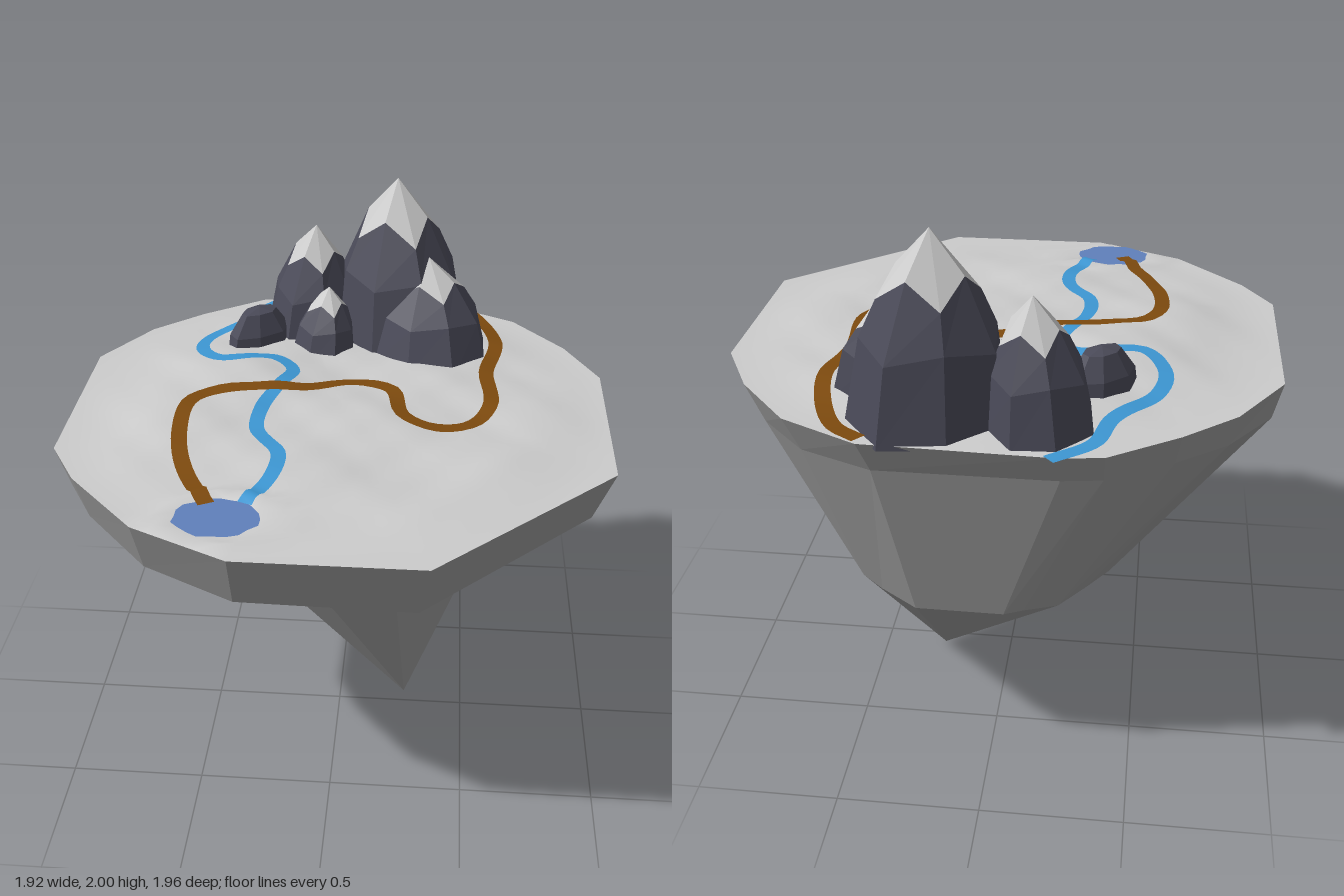
import * as THREE from 'three';

const V = (x, y, z) => new THREE.Vector3(x, y, z);
const TOP = 1.375;
const LAKE = { x: -0.33, z: 0.775, rx: 0.14, rz: 0.11, y: 1.395 };

// Plan outline of the island as x, z corners
const OUTLINE = [
  [-0.96, -0.34], [-0.80, -0.60], [-0.62, -0.76], [-0.39, -0.92], [-0.25, -0.94],
  [0.38, -0.92], [0.65, -0.78], [0.84, -0.55], [0.96, -0.31], [0.96, 0.39],
  [0.35, 0.98], [-0.27, 0.98], [-0.60, 0.82], [-0.85, 0.55], [-0.96, 0.36],
];
const RIVER = [
  [-0.22, -0.965], [-0.35, -0.85], [-0.40, -0.70], [-0.54, -0.51], [-0.56, -0.37],
  [-0.48, -0.25], [-0.27, -0.28], [-0.19, -0.20], [-0.23, -0.05], [-0.27, 0.08],
  [-0.27, 0.24], [-0.18, 0.39], [-0.18, 0.52], [-0.25, 0.70],
];
const PATH = [
  [0.37, -0.91], [0.47, -0.83], [0.57, -0.52], [0.53, -0.26], [0.54, 0], [0.45, 0.15],
  [0.32, 0.17], [0.23, 0.10], [0.18, -0.09], [0.05, -0.13], [-0.14, -0.05], [-0.26, -0.04],
  [-0.47, 0.02], [-0.53, 0.10], [-0.53, 0.31], [-0.48, 0.50], [-0.37, 0.72],
];

function makeMesh(name, geometry, color = 0xcccccc, options = {}) {
  const mesh = new THREE.Mesh(geometry, new THREE.MeshStandardMaterial({ color, ...options }));
  mesh.name = name;
  return mesh;
}

// Joins closed rings of equal length, listed from the bottom up
function loft(rings, flat = true) {
  const n = rings[0].length;
  const index = [];
  for (let i = 0; i < rings.length - 1; i++) {
    for (let j = 0; j < n; j++) {
      const k = (j + 1) % n;
      const a = i * n + j, b = i * n + k, c = b + n, d = a + n;
      index.push(a, d, b, b, d, c);
    }
  }
  let geometry = new THREE.BufferGeometry().setFromPoints(rings.flat());
  geometry.setIndex(index);
  if (flat) geometry = geometry.toNonIndexed();
  geometry.computeVertexNormals();
  return geometry;
}

// Ground height: a gentle mound with ripples, flat at the rim and sunk under the lake
function ground(x, z) {
  const edge = 1 - THREE.MathUtils.smoothstep(Math.hypot(x, z), 0.62, 0.97);
  const mound = 0.03 * Math.exp(-((x + 0.35) ** 2) / 0.12 - ((z + 0.12) ** 2) / 0.15);
  const ripple = 0.006 * Math.sin(9 * x + 5 * z) + 0.005 * Math.sin(13 * z - 8 * x + 1)
    + 0.003 * Math.sin(27 * x + 4) * Math.sin(23 * z);
  const d = Math.hypot((x - LAKE.x) / LAKE.rx, (z - LAKE.z) / LAKE.rz);
  const bank = 0.018 * Math.exp(-(((d - 1.25) / 0.2) ** 2));
  const h = TOP + edge * (0.022 + mound + ripple) + bank;
  return THREE.MathUtils.lerp(TOP, h, THREE.MathUtils.smoothstep(d, 0.8, 1.15));
}

// Tapering rock: tip, narrow ring, wide ring and rim
function rockGeometry() {
  return loft([
    OUTLINE.map(() => V(0.265, 0, -0.06)),
    OUTLINE.map(([x, z], i) => V(0.06 + 0.48 * x, 0.67 + 0.015 * Math.sin(i * 2.4), -0.3 + 0.5 * z)),
    OUTLINE.map(([x, z]) => V(x * 0.95 - 0.015, 1.21 - 0.06 * z - 0.015 * x, z * 0.93 - 0.02)),
    OUTLINE.map(([x, z]) => V(x, TOP, z)),
  ]);
}

function groundGeometry() {
  const split = 6, steps = 26;
  const rim = OUTLINE.flatMap(([x, z], i) => {
    const [u, w] = OUTLINE[(i + 1) % OUTLINE.length];
    return Array.from({ length: split }, (_, k) => [x + (u - x) * k / split, z + (w - z) * k / split]);
  });
  const rings = [];
  for (let i = 0; i <= steps; i++) {
    const s = 1 - i / steps;
    rings.push(rim.map(([x, z]) => V(x * s, i ? ground(x * s, z * s) : TOP, z * s)));
  }
  return loft(rings, false);
}

// Flat band that follows the ground
function ribbonGeometry(points, width, lift) {
  const curve = new THREE.CatmullRomCurve3(points.map(([x, z]) => V(x, 0, z)));
  const count = 80, verts = [], index = [];
  for (let i = 0; i <= count; i++) {
    const p = curve.getPointAt(i / count), t = curve.getTangentAt(i / count);
    for (const side of [-1, 1]) {
      const x = p.x - t.z * side * width / 2, z = p.z + t.x * side * width / 2;
      const inLake = Math.hypot((x - LAKE.x) / LAKE.rx, (z - LAKE.z) / LAKE.rz) < 1.1;
      verts.push(V(x, Math.max(ground(x, z), inLake ? LAKE.y : 0) + lift, z));
    }
    if (i) {
      const a = 2 * i - 2;
      index.push(a, a + 1, a + 2, a + 1, a + 3, a + 2);
    }
  }
  const geometry = new THREE.BufferGeometry().setFromPoints(verts);
  geometry.setIndex(index);
  geometry.computeVertexNormals();
  return geometry;
}

// Faceted peak: dark bulging body and a pale cap with a zigzag lower edge
function mountain({ name, x, z, rx, rz, peak, px = x, pz = z, snow = true, turn = 0 }) {
  const sides = 8, base = 1.36, height = peak - base;
  const ring = (level, radius, dLevel = 0, dRadius = 0) => Array.from({ length: sides }, (_, i) => {
    const a = (i + 0.5) / sides * Math.PI * 2;
    const odd = i % 2;
    const t = level + odd * dLevel;
    const r = (radius + odd * dRadius) * (1 + 0.05 * Math.sin(i * 2.7 + x * 20));
    const u = Math.cos(a) * rx * r, w = Math.sin(a) * rz * r;
    const c = Math.cos(turn), s = Math.sin(turn);
    return V(x + (px - x) * t + u * c - w * s, base + height * t, z + (pz - z) * t + u * s + w * c);
  });
  const tip = Array.from({ length: sides }, () => V(px, peak, pz));
  const group = new THREE.Group();
  group.name = name;
  const dark = 0x4a4a58;
  if (snow) {
    const line = ring(0.79, 0.46, -0.13, 0.18);
    group.add(makeMesh('rockFace', loft([ring(0, 1.04), ring(0.42, 0.88, 0.05, -0.03), line]), dark, { flatShading: true }));
    group.add(makeMesh('snowCap', loft([line, tip]), 0xcccccc, { flatShading: true }));
  } else {
    group.add(makeMesh('rockFace', loft([ring(0, 1), ring(0.5, 0.9), ring(0.92, 0.5), tip]), dark, { flatShading: true }));
  }
  return group;
}

export function createModel() {
  const model = new THREE.Group();
  model.name = 'floatingIsland';

  model.add(makeMesh('rockUnderside', rockGeometry(), 0x9a9a9a, { flatShading: true }));
  model.add(makeMesh('ground', groundGeometry()));

  // Lake with a slightly uneven shore
  const shore = Array.from({ length: 20 }, (_, i) => {
    const a = i / 20 * Math.PI * 2, r = 1 + 0.05 * Math.sin(i * 2.3);
    return V(LAKE.x + Math.cos(a) * LAKE.rx * r, LAKE.y, LAKE.z + Math.sin(a) * LAKE.rz * r);
  });
  model.add(makeMesh('lake', loft([shore, shore.map(() => V(LAKE.x, LAKE.y, LAKE.z))]), 0x6080bb));

  const open = { side: THREE.DoubleSide };
  model.add(makeMesh('river', ribbonGeometry(RIVER, 0.052, 0.009), 0x3d97d3, open));
  model.add(makeMesh('footpath', ribbonGeometry(PATH, 0.055, 0.015), 0x7d4a0e, open));

  // Mountain range
  const range = new THREE.Group();
  range.name = 'mountains';
  [
    { name: 'mainPeak', x: 0.2, z: -0.66, rx: 0.27, rz: 0.27, peak: 2, px: 0.17, pz: -0.69 },
    { name: 'leftPeak', x: -0.17, z: -0.69, rx: 0.18, rz: 0.23, peak: 1.8, px: -0.145, pz: -0.7 },
    { name: 'frontPeak', x: 0.32, z: -0.49, rx: 0.22, rz: 0.21, peak: 1.74, px: 0.3, pz: -0.55 },
    { name: 'smallPeak', x: -0.1, z: -0.49, rx: 0.13, rz: 0.14, peak: 1.62, px: -0.08, pz: -0.52 },
    { name: 'boulder', x: -0.35, z: -0.48, rx: 0.15, rz: 0.09, peak: 1.545, snow: false, turn: -0.75 },
  ].forEach((m) => range.add(mountain(m)));
  model.add(range);

  return model;
}
